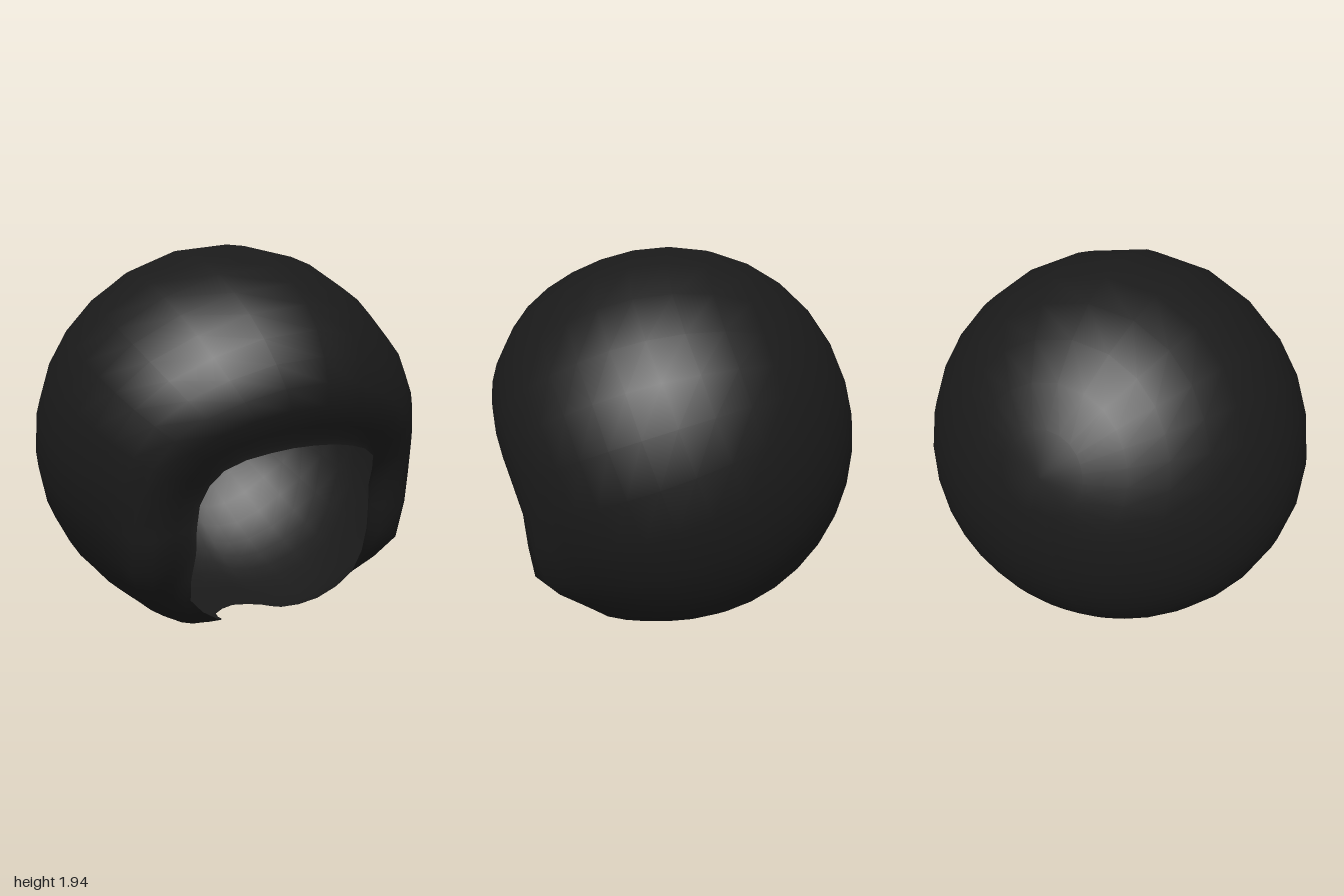
import * as THREE from 'three';

const CENTER = new THREE.Vector3(0, 0.93, 0);
const BACK = new THREE.Vector3(0, 0.35, -0.94).normalize();

// Local swellings: direction, height, angular size
const bump = (x, y, z, height, size) => [new THREE.Vector3(x, y, z).normalize(), height, size];
const BUMPS = [bump(0, 0.55, 0.8, 0.06, 0.45)]; // forehead
for (const side of [1, -1]) {
  BUMPS.push(bump(side * 0.68, 0.33, 0.66, 0.03, 0.25)); // temple
  BUMPS.push(bump(side * 0.65, -0.54, 0.63, 0.12, 0.22)); // cheek
  BUMPS.push(bump(side * 0.4, -0.88, 0.34, 0.05, 0.26)); // lower lip
}

// Radius of the rounded shell in a given direction
function shellRadius(d) {
  const b = d.y > 0 ? 1.005 : 0.96;
  let r = 1 / Math.hypot(d.x, d.y / b, d.z / 0.95);
  for (const [dir, height, size] of BUMPS) {
    const a = d.angleTo(dir) / size;
    r += height * Math.exp(-a * a);
  }
  return r;
}

// Rim of the front opening, clockwise from the top; the left half is mirrored
function rimCurve() {
  const half = [
    [0.22, 0.975, 0.83], [0.41, 0.9, 0.75], [0.475, 0.73, 0.64], [0.485, 0.5, 0.62],
    [0.47, 0.25, 0.53], [0.3, 0.11, 0.46], [0.18, 0.03, 0.3], [0.14, 0.005, 0.16],
  ];
  const mirrored = half.map(([x, y, z]) => [-x, y, z]).reverse();
  const points = [[0, 0.995, 0.85], ...half, [0, 0.005, 0.09], ...mirrored];
  return new THREE.CatmullRomCurve3(points.map((p) => new THREE.Vector3(...p)), true);
}

// Loops running from the rim round to the back of the shell
function shellGeometry(segments = 36, rings = 18) {
  const rim = rimCurve();
  const positions = [];
  const index = [];
  const put = (d, r) => {
    const p = d.clone().multiplyScalar(r).add(CENTER);
    positions.push(p.x, Math.max(p.y, 0), p.z);
  };
  for (let j = 0; j < rings; j++) {
    const t = Math.pow(j / rings, 1.5);
    for (let i = 0; i < segments; i++) {
      const start = rim.getPoint(i / segments).sub(CENTER);
      const rimRadius = start.length();
      start.normalize();
      const axis = new THREE.Vector3().crossVectors(start, BACK).normalize();
      const angle = start.angleTo(BACK) * t;
      const d = start.clone().applyAxisAngle(axis, angle);
      // Ease the inset rim out to the full roundness
      const blend = THREE.MathUtils.smoothstep(angle, 0, 0.24);
      put(d, THREE.MathUtils.lerp(rimRadius, shellRadius(d), blend));
    }
  }
  put(BACK, shellRadius(BACK));
  const pole = segments * rings;
  for (let j = 0; j < rings; j++) {
    for (let i = 0; i < segments; i++) {
      const a = j * segments + i;
      const b = j * segments + ((i + 1) % segments);
      if (j === rings - 1) index.push(a, b, pole);
      else index.push(a, b, a + segments, b, b + segments, a + segments);
    }
  }
  const geometry = new THREE.BufferGeometry();
  geometry.setAttribute('position', new THREE.Float32BufferAttribute(positions, 3));
  geometry.setIndex(index);
  geometry.computeVertexNormals();
  return geometry;
}

export function createModel() {
  const model = new THREE.Group();
  model.name = 'roundHair';
  const black = new THREE.MeshStandardMaterial({ color: 0x1a1a1a, side: THREE.DoubleSide });
  black.name = 'softBlack';
  const shell = new THREE.Mesh(shellGeometry(), black);
  shell.name = 'hairShell';
  model.add(shell);
  return model;
}
